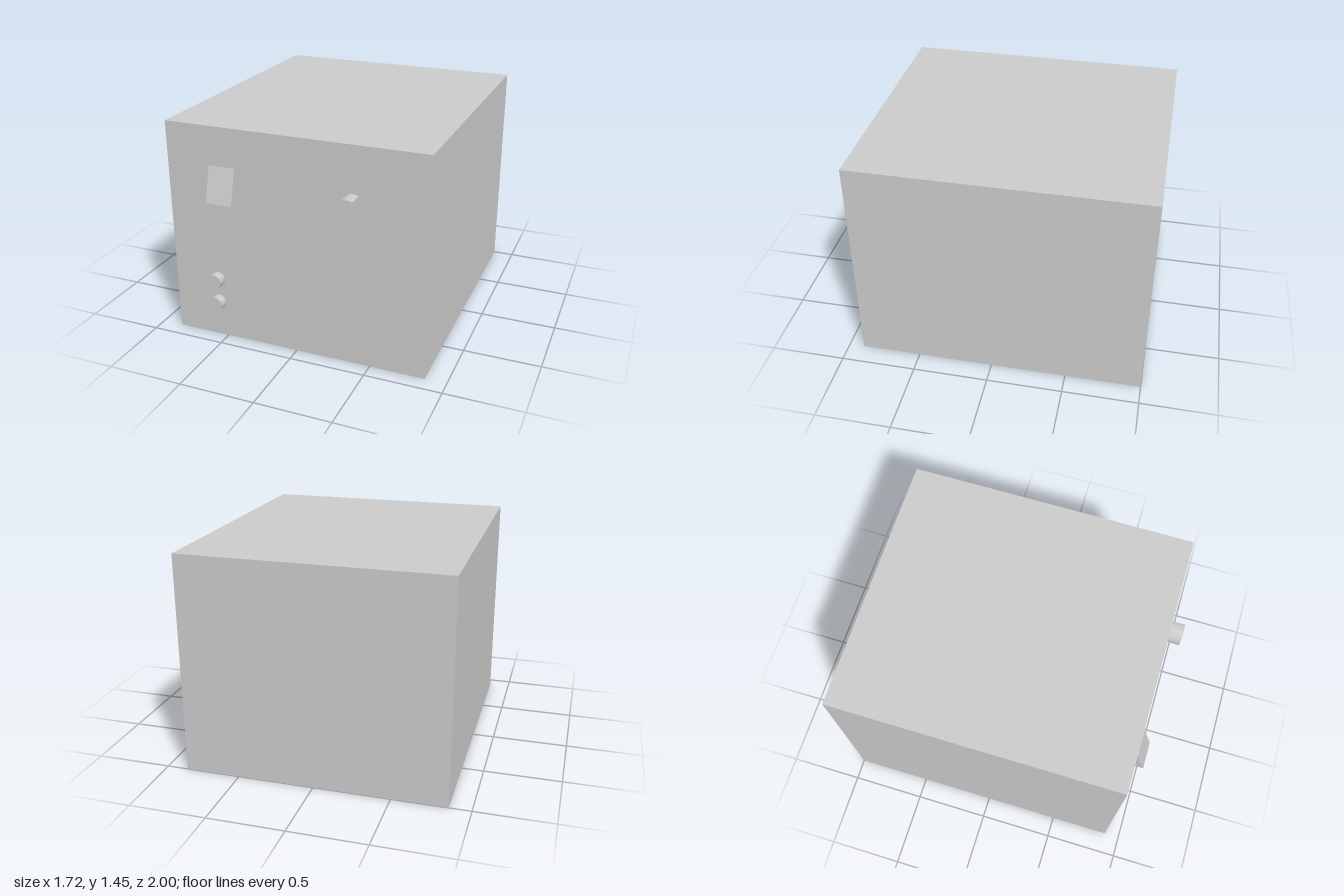
import * as THREE from 'three';
import { toCreasedNormals } from 'three/addons/utils/BufferGeometryUtils.js';

const FRONT = 0.897; // z of the front panel

export function createModel() {
  const model = new THREE.Group();
  const material = new THREE.MeshStandardMaterial({ color: 0xcccccc });
  const add = (name, geometry, x, y, z) => {
    const mesh = new THREE.Mesh(geometry, material);
    mesh.name = name;
    mesh.position.set(x, y, z);
    model.add(mesh);
    return mesh;
  };

  // Housing
  add('housing', new THREE.BoxGeometry(1.72, 1.45, FRONT + 1), 0, 0.725, (FRONT - 1) / 2);

  // Tilted rocker switch: side profile drawn as (z, y), extruded across x
  const rocker = new THREE.Shape([
    [0.88, 0.95], [0.98, 0.977], [0.917, 1.2], [0.88, 1.19],
  ].map(([z, y]) => new THREE.Vector2(z, y)));
  const rockerGeometry = new THREE.ExtrudeGeometry(rocker, { depth: 0.175, bevelEnabled: false });
  rockerGeometry.rotateY(-Math.PI / 2);
  add('rockerSwitch', rockerGeometry, -0.38, 0, 0);

  // Teardrop pointer knob: round back with straight tangents to the tip
  const radius = 0.082, tip = 0.207;
  const tangent = Math.acos(radius / tip);
  const drop = new THREE.Shape();
  drop.moveTo(tip, 0);
  drop.absarc(0, 0, radius, tangent, 2 * Math.PI - tangent, false);
  drop.closePath();
  const knob = new THREE.ExtrudeGeometry(drop, { depth: 1 - FRONT, bevelEnabled: false, curveSegments: 12 });
  add('pointerKnob', toCreasedNormals(knob, Math.PI / 5), 0.39, 1.066, FRONT);

  // Two round push buttons
  for (const [name, y] of [['upperButton', 0.413], ['lowerButton', 0.248]]) {
    const button = new THREE.CylinderGeometry(0.048, 0.048, 0.055, 24);
    button.rotateX(Math.PI / 2);
    add(name, button, -0.551, y, FRONT + 0.0275);
  }

  return model;
}
